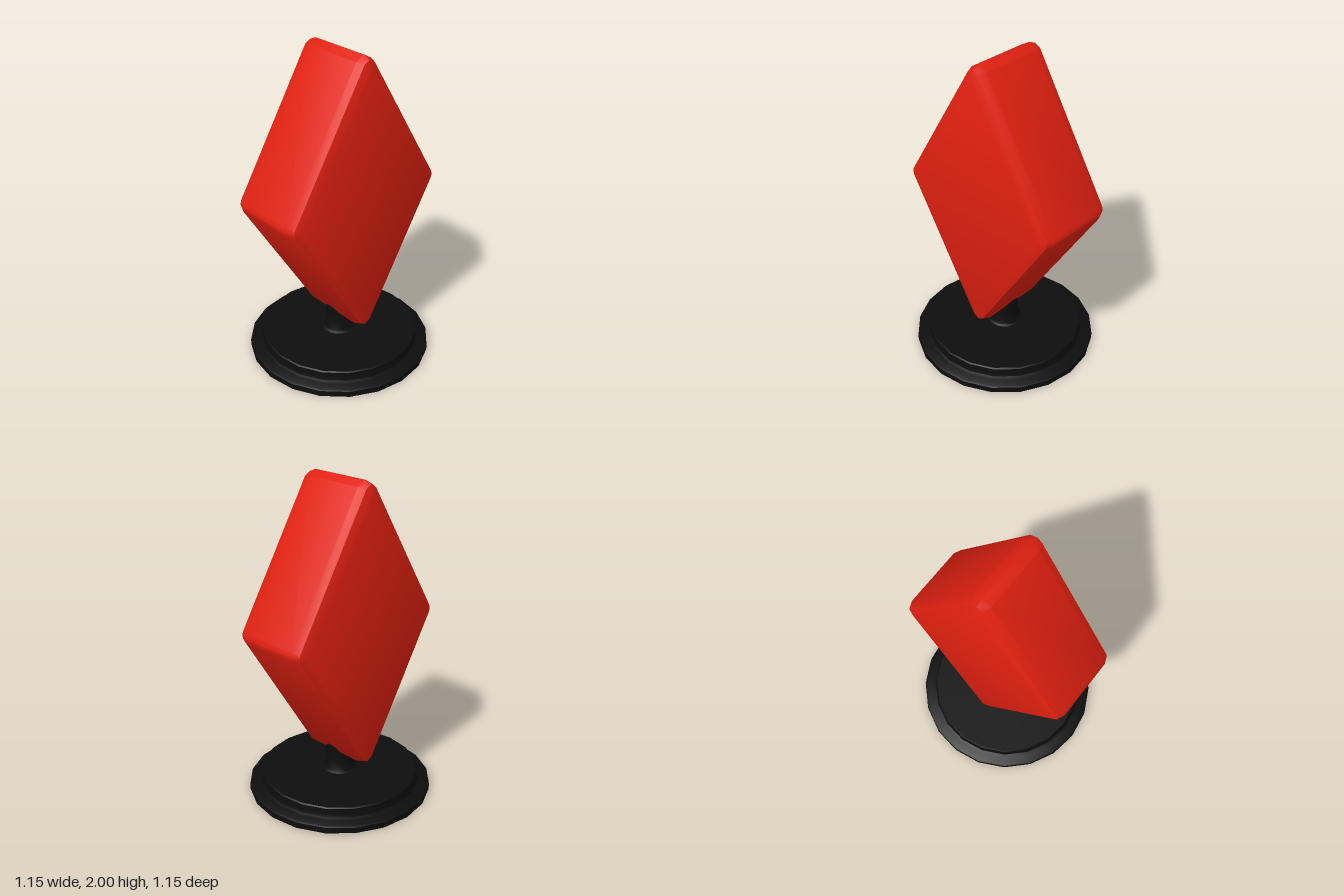
import * as THREE from 'three';
import { toCreasedNormals } from 'three/addons/utils/BufferGeometryUtils.js';

const red = new THREE.MeshStandardMaterial({ color: 0xe02010 });
const black = new THREE.MeshStandardMaterial({ color: 0x0d0d0d });

// Rhombus slab: a flat rhombus core grown outward by a two-step rounded bevel
function diamondGeometry(halfW, halfH, halfD, bevel) {
  const corners = [[halfW, 0], [0, halfH], [-halfW, 0], [0, -halfH]];
  const tilt = Math.atan2(halfW, halfH); // angle of the side normals above x
  const outline = [];
  corners.forEach(([x, y], i) => {
    const spread = i % 2 ? Math.PI / 2 - tilt : tilt;
    for (const k of [-1, 0, 1]) outline.push([x, y, i * Math.PI / 2 + k * spread]);
  });
  const n = outline.length;
  const positions = [];
  const index = [];

  // Rings from back to front
  const rings = [];
  for (const side of [-1, 1]) {
    const steps = side < 0 ? [2, 1, 0] : [0, 1, 2];
    for (const s of steps) {
      const a = s * Math.PI / 4;
      rings.push([bevel * Math.cos(a), side * (halfD + bevel * Math.sin(a))]);
    }
  }
  for (const [r, z] of rings)
    for (const [x, y, a] of outline)
      positions.push(x + r * Math.cos(a), y + r * Math.sin(a), z);
  for (let j = 0; j < rings.length - 1; j++)
    for (let i = 0; i < n; i++) {
      const a = j * n + i, b = j * n + (i + 1) % n;
      // Where the end rings collapse to a corner, one triangle is enough
      const same = Math.floor(i / 3) === Math.floor(((i + 1) % n) / 3);
      if (!(j === 0 && same)) index.push(a, b, b + n);
      if (j === rings.length - 2 && same) index.push(a, b, a + n);
      else index.push(a, b + n, a + n);
      if (j === rings.length - 2 && same) index.splice(-6, 3);
    }

  // Flat front and back faces
  const f = (rings.length - 1) * n;
  index.push(f + 1, f + 4, f + 7, f + 1, f + 7, f + 10);
  index.push(1, 7, 4, 1, 10, 7);

  const g = new THREE.BufferGeometry();
  g.setAttribute('position', new THREE.Float32BufferAttribute(positions, 3));
  g.setIndex(index);
  return toCreasedNormals(g, 0.6);
}

function turned(profile, segments) {
  const points = profile.map(([r, y]) => new THREE.Vector2(r, y));
  return toCreasedNormals(new THREE.LatheGeometry(points, segments), 0.6);
}

export function createModel() {
  const model = new THREE.Group();
  const add = (name, geometry, material, y = 0) => {
    const mesh = new THREE.Mesh(geometry, material);
    mesh.name = name;
    mesh.position.y = y;
    model.add(mesh);
  };

  // Bevelled diamond standing on its point
  add('diamond', diamondGeometry(0.505, 0.82, 0.195, 0.065), red, 1.115);

  // Stepped round foot
  add('base', turned([
    [0, 0], [0.575, 0], [0.575, 0.038], [0.565, 0.045], [0.52, 0.05],
    [0.5, 0.06], [0.495, 0.075], [0.495, 0.115], [0.488, 0.122], [0, 0.122],
  ], 20), black);

  // Short stem with a flared foot, running up into the diamond
  add('stem', turned([
    [0.115, 0.121], [0.1, 0.13], [0.092, 0.15], [0.086, 0.19], [0.083, 0.24],
    [0.083, 0.36], [0, 0.36],
  ], 20), black);

  return model;
}
